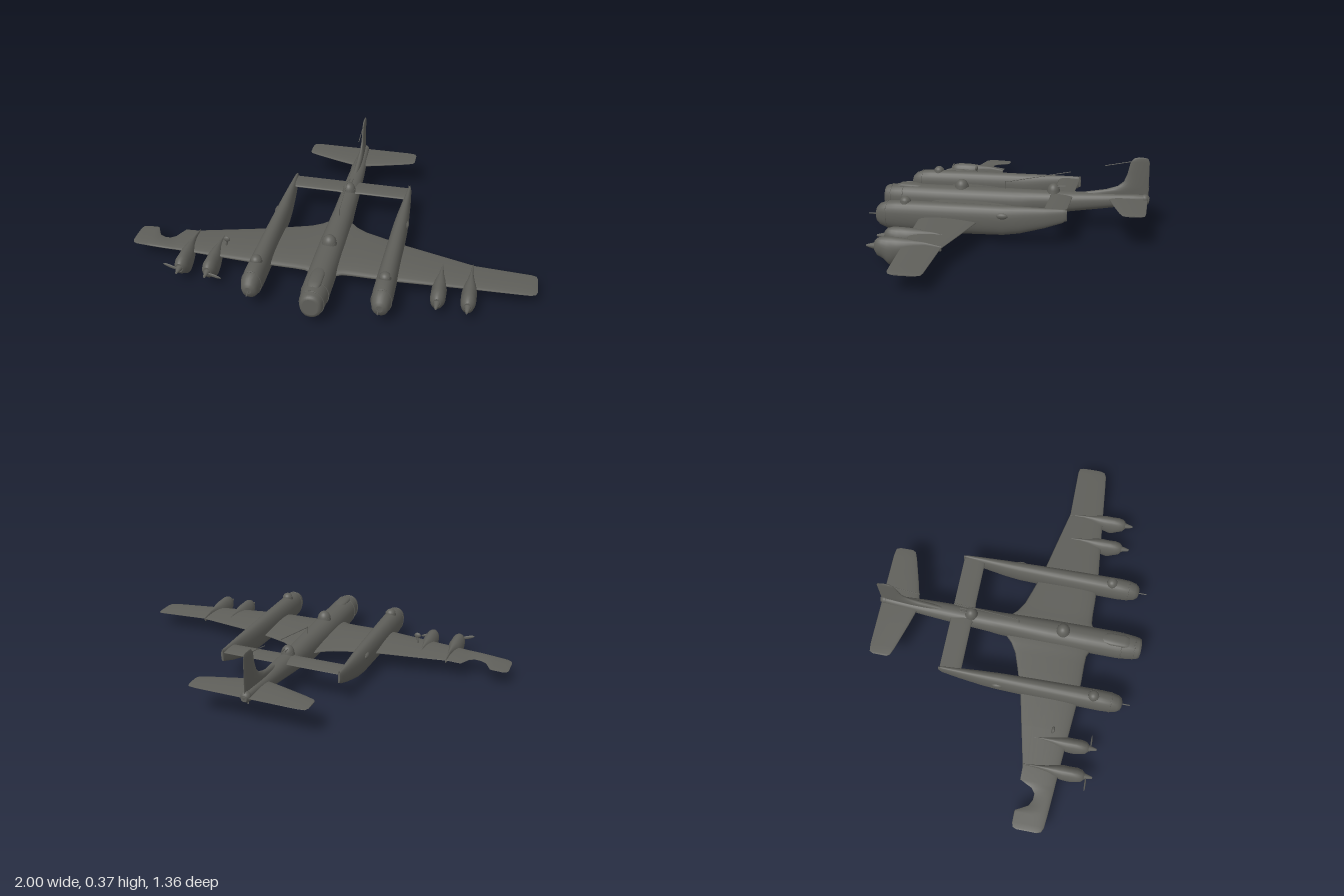
import * as THREE from 'three';

const grey = new THREE.MeshStandardMaterial({ color: 0x5f5f5a });
grey.name = 'dull grey paint';
const V = (x, y, z) => new THREE.Vector3(x, y, z);
const TAU = Math.PI * 2;

// Skin a list of closed rings (counter-clockwise seen from the first end) and cap both ends
function loft(rings) {
  const n = rings[0].length, pos = [], idx = [];
  const add = p => pos.push(p.x, p.y, p.z) / 3 - 1;
  rings.forEach(r => r.forEach(add));
  for (let i = 0; i < rings.length - 1; i++) for (let j = 0; j < n; j++) {
    const a = i * n + j, b = i * n + (j + 1) % n;
    idx.push(a, a + n, b, b, a + n, b + n);
  }
  [rings[0], rings[rings.length - 1]].forEach((r, end) => {
    const c = r.reduce((s, p) => s.add(p), V(0, 0, 0)).divideScalar(n);
    const first = r.map(add)[0], mid = add(c);
    for (let j = 0; j < n; j++) {
      const a = first + j, b = first + (j + 1) % n;
      end ? idx.push(mid, b, a) : idx.push(mid, a, b);
    }
  });
  const g = new THREE.BufferGeometry();
  g.setAttribute('position', new THREE.Float32BufferAttribute(pos, 3));
  g.setIndex(idx);
  g.computeVertexNormals();
  return g;
}

const ringOf = (n, f) => Array.from({ length: n }, (_, i) => f(Math.cos(i / n * TAU), Math.sin(i / n * TAU)));

// Body sections running backwards: [z, bottom, top, half width, x]
const hull = (rows, p = 0.9) => loft(rows.map(([z, b, t, w, x = 0]) => ringOf(28, (c, s) =>
  V(x + w * Math.sign(c) * Math.abs(c) ** p, (b + t) / 2 + (t - b) / 2 * Math.sign(s) * Math.abs(s) ** p, z))));

// Wing sections running from +x to -x: [x, leading z, trailing z, y, half thickness]
const wingLoft = rows => loft(rows.map(([x, l, t, y, h]) => ringOf(24, (c, s) =>
  V(x, y + h * c * (0.7 + 0.3 * s), (l + t) / 2 + (l - t) / 2 * s))));

// Fin sections running downwards: [y, leading z, trailing z, half thickness]
const finLoft = rows => loft(rows.map(([y, l, t, h]) => ringOf(24, (c, s) =>
  V(h * s * (0.7 + 0.3 * c), y, (l + t) / 2 + (l - t) / 2 * c))));

const mirrored = rows => [...rows, ...rows.slice().reverse().filter(r => r[0] > 0).map(([x, ...r]) => [-x, ...r])];

export function createModel() {
  const model = new THREE.Group();
  model.name = 'bomber';
  const put = (name, geo, x = 0, y = 0, z = 0, parent = model) => {
    const m = new THREE.Mesh(geo, grey);
    m.name = name;
    m.position.set(x, y, z);
    parent.add(m);
    return m;
  };
  // Thin round bar between two points
  const rod = (name, a, b, r) => put(name, new THREE.TubeGeometry(new THREE.LineCurve3(a, b), 1, r, 8));
  // Domed gun turret with a collar
  const turret = (name, x, y, z, r, top) => {
    put(name + 'Collar', new THREE.CylinderGeometry(r, r * 1.08, 0.016, 24), x, y, z);
    put(name, new THREE.SphereGeometry(r, 24, 10, 0, TAU, 0, Math.PI / 2), x, y, z).scale.y = (top - y) / r;
  };

  // Fuselage with a blunt glazed nose
  put('fuselage', hull([
    [0.68, 0.068, 0.155, 0.036], [0.678, 0.055, 0.167, 0.046], [0.665, 0.047, 0.174, 0.053], [0.62, 0.038, 0.18, 0.06],
    [0.56, 0.034, 0.184, 0.065], [0.4, 0.034, 0.184, 0.065], [0.2, 0.034, 0.184, 0.063], [0, 0.035, 0.184, 0.056],
    [-0.05, 0.037, 0.183, 0.054], [-0.1, 0.055, 0.183, 0.052], [-0.3, 0.085, 0.184, 0.046],
    [-0.45, 0.107, 0.187, 0.039], [-0.6, 0.13, 0.188, 0.028], [-0.66, 0.134, 0.186, 0.022], [-0.677, 0.145, 0.175, 0.015],
  ]));
  for (const [z, h, w] of [[0.645, 0.069, 0.058], [0.58, 0.075, 0.065]])
    put('noseFrame', new THREE.TorusGeometry(1, 0.035, 8, 32), 0, 0.109, z).scale.set(w, h, 0.08);
  put('cockpitRoof', hull([[0.62, 0.165, 0.178, 0.022], [0.59, 0.16, 0.192, 0.032],
    [0.52, 0.16, 0.191, 0.032], [0.47, 0.165, 0.182, 0.02]]));

  // Main wing, with a bite out of the right trailing edge
  const half = [
    [1.0, 0.325, 0.225, 0.079, 0.003], [0.992, 0.345, 0.205, 0.08, 0.006], [0.97, 0.355, 0.2, 0.081, 0.008],
    [0.92, 0.36, 0.2, 0.083, 0.01], [0.7, 0.378, 0.2, 0.092, 0.014], [0.5, 0.395, 0.155, 0.098, 0.02],
    [0.35, 0.408, 0.122, 0.103, 0.025], [0.22, 0.412, 0.082, 0.105, 0.026], [0.14, 0.412, 0.055, 0.105, 0.027],
    [0.09, 0.415, 0.025, 0.105, 0.029], [0.06, 0.43, -0.005, 0.105, 0.033], [0, 0.43, -0.01, 0.105, 0.033],
  ];
  const bite = [[-0.765, 0.2], [-0.78, 0.23], [-0.795, 0.262], [-0.82, 0.28], [-0.85, 0.278], [-0.88, 0.262], [-0.9, 0.225], [-0.912, 0.202]]
    .map(([x, t]) => [x, 0.373 + (x + 0.765) * 0.08, t, 0.089 + (x + 0.765) * 0.04, 0.011]);
  put('mainWing', wingLoft([...mirrored(half), ...bite].sort((a, b) => b[0] - a[0])));

  // Tailplane and the bridge joining the booms
  put('tailplane', wingLoft(mirrored([
    [0.297, -0.575, -0.645, 0.16, 0.003], [0.288, -0.56, -0.665, 0.16, 0.006], [0.25, -0.545, -0.67, 0.16, 0.008],
    [0.12, -0.505, -0.67, 0.16, 0.012], [0.04, -0.483, -0.67, 0.16, 0.014], [0, -0.47, -0.67, 0.16, 0.014]])));
  put('boomBridge', wingLoft(mirrored([[0.3, -0.19, -0.3, 0.166, 0.011], [0.06, -0.19, -0.3, 0.166, 0.012],
    [0, -0.18, -0.3, 0.166, 0.013]])));

  // Tail fin with a long swept fillet
  put('tailFin', finLoft([
    [0.373, -0.615, -0.65, 0.003], [0.368, -0.595, -0.665, 0.006], [0.35, -0.58, -0.672, 0.008], [0.29, -0.566, -0.672, 0.01],
    [0.25, -0.55, -0.672, 0.012], [0.225, -0.52, -0.672, 0.014], [0.205, -0.46, -0.672, 0.017],
    [0.188, -0.36, -0.672, 0.02], [0.17, -0.32, -0.672, 0.022]]));
  put('tailGunPost', new THREE.SphereGeometry(0.024, 16, 12), 0, 0.165, -0.655);
  rod('tailSkid', V(0, 0.14, -0.63), V(0, 0.115, -0.635), 0.004);

  // Twin booms, each with a rounded nose, turret and side blister
  for (const s of [1, -1]) {
    put('boom', hull([
      [0.628, 0.095, 0.13, 0.016], [0.622, 0.075, 0.148, 0.03], [0.605, 0.058, 0.166, 0.04], [0.57, 0.045, 0.179, 0.047],
      [0.52, 0.038, 0.184, 0.049], [0.4, 0.036, 0.185, 0.047], [0.2, 0.036, 0.185, 0.043], [0, 0.04, 0.184, 0.037],
      [-0.08, 0.052, 0.184, 0.032], [-0.2, 0.085, 0.183, 0.021], [-0.285, 0.115, 0.182, 0.011], [-0.305, 0.13, 0.178, 0.004],
    ].map(r => [...r, s * (r[0] > 0 ? 0.306 : 0.306 - r[0] * 0.01)])));
    put('boomNoseFrame', new THREE.TorusGeometry(1, 0.035, 8, 32), s * 0.306, 0.112, 0.57).scale.set(0.048, 0.068, 0.08);
    turret('boomTurret', s * 0.306, 0.18, 0.48, 0.027, 0.206);
    put('sideBlister', new THREE.SphereGeometry(0.022, 16, 12), s * 0.335, 0.14, 0).scale.set(0.6, 0.7, 1.4);
    rod('boomNoseGun', V(s * 0.303, 0.11, 0.61), V(s * 0.303, 0.11, 0.668), 0.003);
    rod('rudderPost', V(s * 0.306, 0.185, -0.3), V(s * 0.306, 0.125, -0.3), 0.005);

    // Engine nacelles with chin scoops, spinners and fairings over the wing
    for (const x of [0.55, 0.69]) {
      const engine = new THREE.Group();
      engine.name = 'engine';
      engine.position.x = s * x;
      model.add(engine);
      put('nacelle', hull([
        [0.502, 0.06, 0.11, 0.018], [0.49, 0.042, 0.123, 0.029], [0.465, 0.03, 0.13, 0.035], [0.44, 0.004, 0.131, 0.036],
        [0.425, 0, 0.131, 0.036], [0.395, 0.018, 0.13, 0.036], [0.36, 0.03, 0.127, 0.03],
        [0.32, 0.052, 0.121, 0.018], [0.27, 0.068, 0.115, 0.008], [0.2, 0.078, 0.1, 0.003]], 1), 0, 0, 0, engine);
      put('spinner', new THREE.CylinderGeometry(0.005, 0.017, 0.045, 16), 0, 0.085, 0.52, engine).rotation.x = Math.PI / 2;
    }
  }

  // Surviving propeller blades on the right wing
  for (const [x, dx, dy] of [[-0.69, -0.075, 0.025], [-0.55, 0.07, -0.02]]) {
    const blade = put('propellerBlade', new THREE.SphereGeometry(0.04, 12, 8), x + dx / 2, 0.085 + dy / 2, 0.512);
    blade.scale.set(1, 0.22, 0.1);
    blade.rotation.z = Math.atan2(dy, dx);
  }

  // Loose wreckage standing on the right wing
  rod('bentStrut', V(-0.515, 0.1, 0.31), V(-0.505, 0.15, 0.315), 0.005);
  put('bentStrutHead', new THREE.SphereGeometry(0.016, 12, 8), -0.507, 0.152, 0.315).scale.set(1.1, 0.9, 0.5);

  // Dorsal turrets, guns and aerials
  turret('forwardTurret', 0, 0.182, 0.275, 0.034, 0.222);
  turret('rearTurret', 0, 0.182, -0.2, 0.032, 0.222);
  for (const x of [-0.008, 0.008]) rod('rearTurretGun', V(x, 0.208, -0.2), V(x, 0.21, -0.26), 0.003);
  rod('aerialMast', V(0, 0.18, 0.047), V(0, 0.222, 0.047), 0.003);
  rod('aerialWire', V(0, 0.218, 0.047), V(0, 0.285, -0.285), 0.002);
  rod('finWire', V(0, 0.352, -0.59), V(0, 0.325, -0.455), 0.002);
  return model;
}
